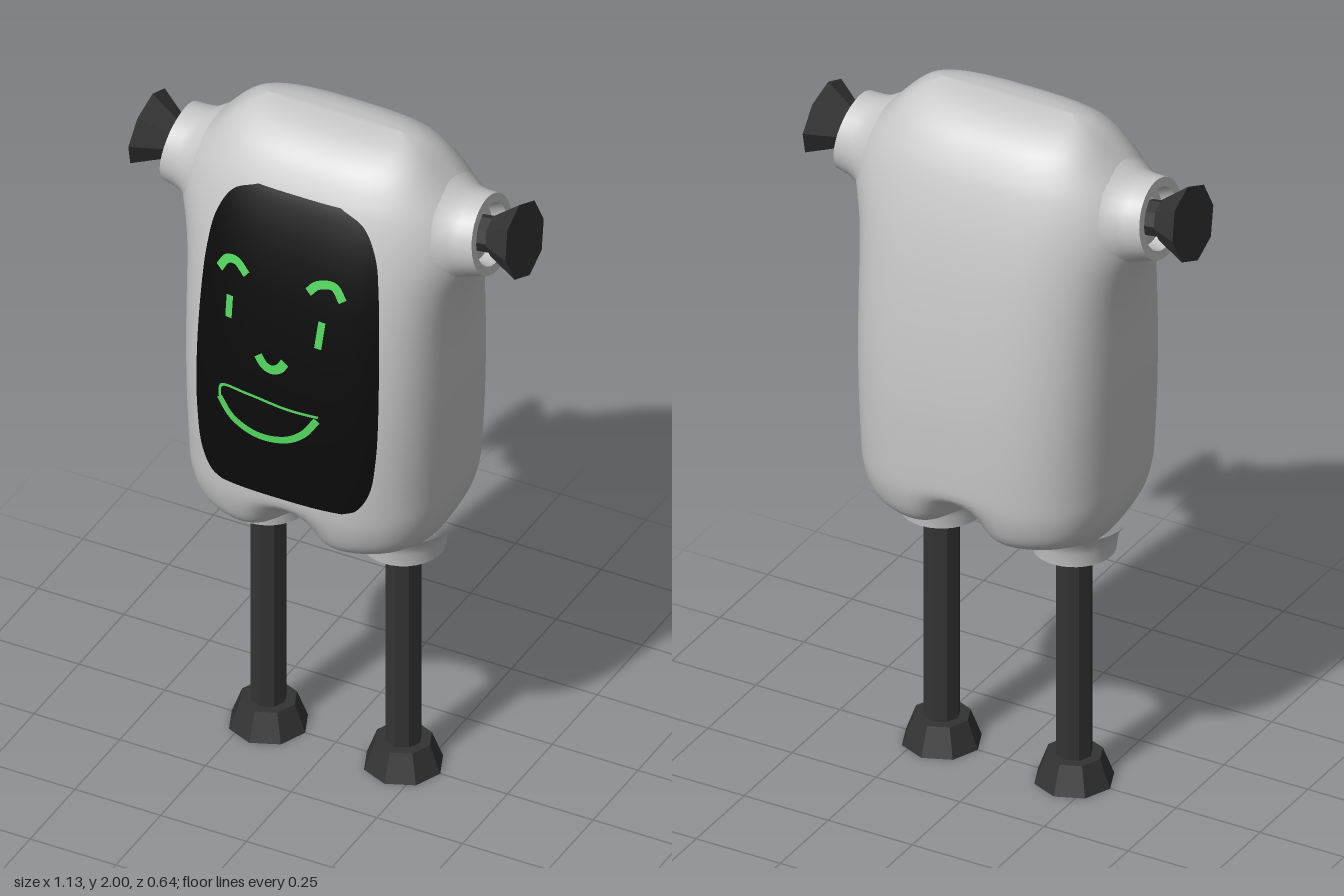
import * as THREE from 'three';
import { mergeVertices, toCreasedNormals } from 'three/addons/utils/BufferGeometryUtils.js';

const V3 = THREE.Vector3;
const material = (name, color, flatShading = false) => {
  const m = new THREE.MeshStandardMaterial({ color, flatShading });
  m.name = name;
  return m;
};

// Body profile from bottom to top: half width, height, half depth
const profile = new THREE.CatmullRomCurve3([
  [0, 0.8, 0], [0.11, 0.8, 0.09], [0.21, 0.8, 0.18], [0.29, 0.803, 0.245], [0.33, 0.83, 0.278],
  [0.353, 0.9, 0.302], [0.36, 1.0, 0.311], [0.367, 1.2, 0.314], [0.37, 1.4, 0.302],
  [0.37, 1.6, 0.276], [0.365, 1.72, 0.25], [0.35, 1.81, 0.222], [0.328, 1.87, 0.196],
  [0.29, 1.935, 0.152], [0.25, 1.975, 0.098], [0.215, 1.993, 0.05], [0.19, 2.0, 0],
].map(p => new V3(...p))).getPoints(80);
const ROUND = 3; // squareness of the cross-section

// Depth of the body's front at (x, y)
function frontZ(x, y) {
  let i = profile.length - 2;
  while (i > 0 && profile[i].y > y) i--;
  const a = profile[i], b = profile[i + 1];
  const p = a.clone().lerp(b, (y - a.y) / (b.y - a.y));
  const k = Math.min(1, Math.abs(x) / p.x);
  return p.z * Math.pow(1 - Math.pow(k, ROUND), 1 / ROUND);
}

function indexed(positions, index) {
  const g = new THREE.BufferGeometry();
  g.setAttribute('position', new THREE.Float32BufferAttribute(positions, 3));
  g.setIndex(index);
  return g;
}

// Sculpt rule: swellings at the limb sockets and a groove between the legs
function sculpt(p) {
  const { smoothstep } = THREE.MathUtils;
  const ax = Math.abs(p.x), { y, z } = p;
  const arm = Math.exp(-(((y - 1.74) ** 2 + z * z) / 0.0196)) * smoothstep(ax, 0.2, 0.34);
  const low = 1 - smoothstep(y, 0.8, 0.84);
  const leg = Math.exp(-(((ax - 0.195) ** 2 + z * z) / 0.0145)) * low;
  const groove = Math.exp(-((ax / 0.075) ** 2)) * (1 - smoothstep(y, 0.8, 0.95));
  p.x += Math.sign(p.x) * 0.07 * arm;
  p.y += 0.045 * groove - 0.075 * leg;
  p.z *= 1 - 0.25 * groove;
  return p;
}

function bodyGeometry() {
  const n = 88, pos = [], idx = [];
  profile.forEach((ring, i) => {
    for (let j = 0; j < n; j++) {
      const a = (j / n) * Math.PI * 2, c = Math.cos(a), s = Math.sin(a);
      const k = Math.pow(Math.abs(c) ** ROUND + Math.abs(s) ** ROUND, 1 / ROUND);
      pos.push(...sculpt(new V3(ring.x * c / k, ring.y, ring.z * s / k)).toArray());
      if (i === profile.length - 1) continue;
      const p = i * n + j, q = i * n + (j + 1) % n;
      idx.push(p, p + n, q, q, p + n, q + n);
    }
  });
  const g = mergeVertices(indexed(pos, idx), 1e-4);
  g.computeVertexNormals();
  return g;
}

// Curved face panel: half width by height
function screenGeometry() {
  const edge = new THREE.CatmullRomCurve3([
    [0.175, 0.97], [0.21, 0.985], [0.243, 1.04], [0.26, 1.15], [0.265, 1.3], [0.26, 1.5],
    [0.25, 1.65], [0.232, 1.75], [0.19, 1.825], [0.12, 1.86],
  ].map(([x, y]) => new V3(x, y, 0))).getPoints(54);
  const cols = 24, pos = [], idx = [];
  edge.forEach((e, i) => {
    for (let j = 0; j <= cols; j++) {
      const x = e.x * (2 * j / cols - 1);
      pos.push(x, e.y, frontZ(x, e.y) + 0.005);
      if (i === edge.length - 1 || j === cols) continue;
      const a = i * (cols + 1) + j, b = a + cols + 1;
      idx.push(a, a + 1, b, a + 1, b + 1, b);
    }
  });
  const g = indexed(pos, idx);
  g.computeVertexNormals();
  return g;
}

// Painted stroke lying on the face panel
function strokeGeometry(points, width) {
  const curve = new THREE.CatmullRomCurve3(points.map(([x, y]) => new V3(x, y, 0)));
  const steps = 28, pos = [], idx = [];
  for (let i = 0; i <= steps; i++) {
    const p = curve.getPoint(i / steps), t = curve.getTangent(i / steps);
    for (const s of [1, -1]) {
      const x = p.x - s * t.y * width / 2, y = p.y + s * t.x * width / 2;
      pos.push(x, y, frontZ(x, y) + 0.009);
    }
    if (i < steps) {
      const l = i * 2;
      idx.push(l + 1, l + 3, l, l + 3, l + 2, l);
    }
  }
  const g = indexed(pos, idx);
  g.computeVertexNormals();
  return g;
}

export function createModel() {
  const model = new THREE.Group();
  model.name = 'robot';
  const shell = material('shell grey', 0xc8c8c8);
  const dark = material('dark metal', 0x333333, true);
  const black = material('screen black', 0x0b0b0b);
  const green = material('display green', 0x52d65e);

  const add = (parent, name, geometry, mat, y = 0) => {
    const mesh = new THREE.Mesh(geometry, mat);
    mesh.name = name;
    mesh.position.y = y;
    parent.add(mesh);
    return mesh;
  };

  add(model, 'body', bodyGeometry(), shell);
  add(model, 'faceScreen', screenGeometry(), black);

  // Face strokes
  const strokes = [
    ['rightBrow', 0.024, [[-0.2, 1.61], [-0.178, 1.643], [-0.15, 1.648], [-0.115, 1.62]]],
    ['leftBrow', 0.024, [[0.065, 1.625], [0.09, 1.65], [0.135, 1.657], [0.163, 1.62]]],
    ['rightEye', 0.02, [[-0.16, 1.48], [-0.16, 1.545]]],
    ['leftEye', 0.02, [[0.104, 1.47], [0.111, 1.55]]],
    ['nose', 0.026, [[-0.065, 1.402], [-0.047, 1.378], [-0.025, 1.37], [-0.002, 1.38], [0.013, 1.402]]],
    ['upperLip', 0.008, [[-0.178, 1.235], [-0.172, 1.272], [-0.09, 1.275], [0.02, 1.264], [0.113, 1.265]]],
    ['lowerLip', 0.02, [[-0.178, 1.235], [-0.14, 1.19], [-0.085, 1.163], [-0.03, 1.157],
      [0.03, 1.172], [0.075, 1.205], [0.11, 1.255]]],
  ];
  for (const [name, width, points] of strokes) add(model, name, strokeGeometry(points, width), green);

  // Hollow socket, opening toward local -y
  const socket = toCreasedNormals(new THREE.LatheGeometry([
    [0.03, 0.04], [0.075, 0.04], [0.085, 0], [0.11, 0], [0.115, 0.04], [0.122, 0.065], [0.15, 0.1],
  ].map(p => new THREE.Vector2(...p)), 32), 0.7);

  // Limb pointing along local -y: socket, rod and flared end
  const limb = (name, end, length, endHeight, neck) => {
    const g = new THREE.Group();
    g.name = name;
    add(g, name + 'Socket', socket, shell);
    const rod = length - endHeight + 0.07;
    add(g, name + 'Rod', new THREE.CylinderGeometry(0.049, 0.049, rod, 8), dark, 0.06 - rod / 2);
    add(g, end, new THREE.CylinderGeometry(neck, 0.107, endHeight, 8), dark, endHeight / 2 - length);
    model.add(g);
    return g;
  };

  for (const [side, s] of [['left', 1], ['right', -1]]) {
    limb(side + 'Leg', side + 'Foot', 0.7, 0.08, 0.077).position.set(s * 0.197, 0.7, 0);
    const arm = limb(side + 'Arm', side + 'Hand', 0.096, 0.085, 0.057);
    arm.position.set(s * 0.455, 1.76, 0);
    arm.rotation.z = s * THREE.MathUtils.degToRad(98);
  }
  return model;
}
